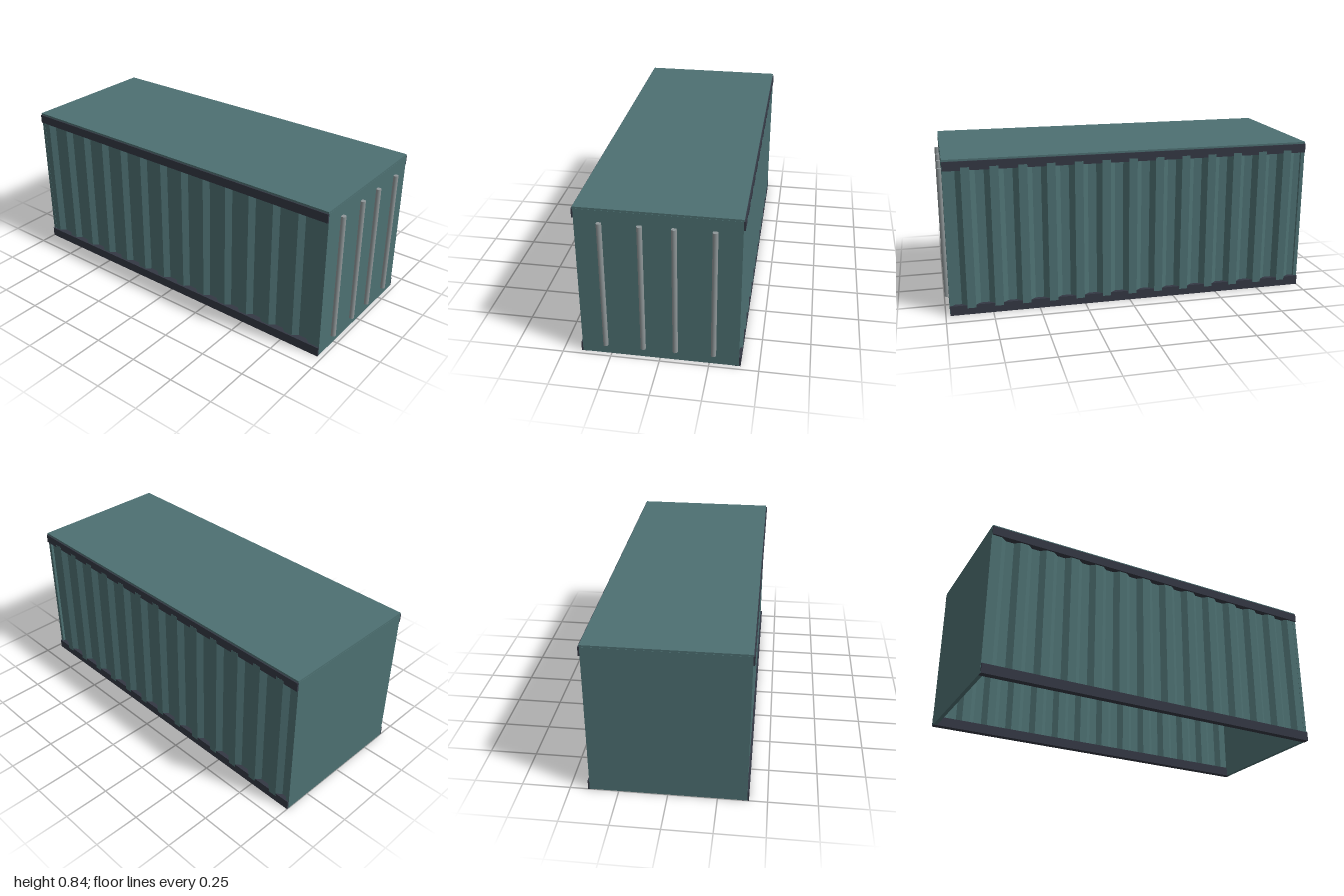
import * as THREE from 'three';

const teal = new THREE.MeshStandardMaterial({ color: 0x4d7072 });
teal.name = 'teal steel';
const dark = new THREE.MeshStandardMaterial({ color: 0x343844 });
dark.name = 'dark rail';
const metal = new THREE.MeshStandardMaterial({ color: 0x8f9799 });
metal.name = 'bare metal';

const X0 = -1, X1 = 0.976, MID = (X0 + X1) / 2, LENGTH = X1 - X0;

function box(name, material, size, position) {
  const mesh = new THREE.Mesh(new THREE.BoxGeometry(...size), material);
  mesh.name = name;
  mesh.position.set(...position);
  return mesh;
}

// Corrugated sheet: a trapezoid wave in plan, extruded upwards
function corrugatedWall(name, zMin, zMax, y0, y1) {
  const thick = 0.006, period = 0.1464, slope = 0.028, flat = period / 2 - slope;
  const a = -zMax, b = -zMin - thick;
  const line = [];
  for (let x = X0 + 0.01, high = true; x < X1 - 0.01; x += flat + slope, high = !high) {
    const y = high ? a : b;
    line.push([x, y], [Math.min(x + flat, X1 - 0.005), y]);
  }
  const points = [
    ...line.map(([x, y]) => new THREE.Vector2(x, y)),
    ...line.slice().reverse().map(([x, y]) => new THREE.Vector2(x, y + thick)),
  ];
  const geometry = new THREE.ExtrudeGeometry(new THREE.Shape(points), { depth: y1 - y0, bevelEnabled: false });
  geometry.rotateX(-Math.PI / 2);
  const mesh = new THREE.Mesh(geometry, teal);
  mesh.name = name;
  mesh.position.y = y0;
  return mesh;
}

export function createModel() {
  const group = new THREE.Group();
  group.name = 'cargoContainer';

  // Roof and flat end walls; the underside is open
  group.add(box('roof', teal, [LENGTH, 0.012, 0.802], [MID, 0.834, 0]));
  group.add(box('doorEnd', teal, [0.02, 0.828, 0.798], [X1 - 0.009, 0.416, 0]));
  group.add(box('closedEnd', teal, [0.02, 0.828, 0.798], [X0 + 0.009, 0.416, 0]));

  // Corrugated long sides; the back ribs just break through the rails
  group.add(corrugatedWall('frontWall', 0.368, 0.398, 0.01, 0.828));
  group.add(corrugatedWall('backWall', -0.408, -0.378, 0.035, 0.798));

  // Long rails along the top and bottom edges
  for (const side of [1, -1]) {
    const label = side > 0 ? 'front' : 'back';
    group.add(box(label + 'BottomRail', dark, [LENGTH, 0.052, 0.035], [MID, 0.026, side * 0.39]));
    group.add(box(label + 'TopRail', dark, [LENGTH, 0.048, 0.035], [MID, 0.806, side * 0.39]));
  }

  // Upright locking bars on the door end
  for (const z of [0.275, 0.083, -0.08, -0.272]) {
    const bar = new THREE.Mesh(new THREE.CylinderGeometry(0.0135, 0.0135, 0.708, 12), metal);
    bar.name = 'lockingBar';
    bar.position.set(0.9865, 0.414, z);
    group.add(bar);
  }
  return group;
}
